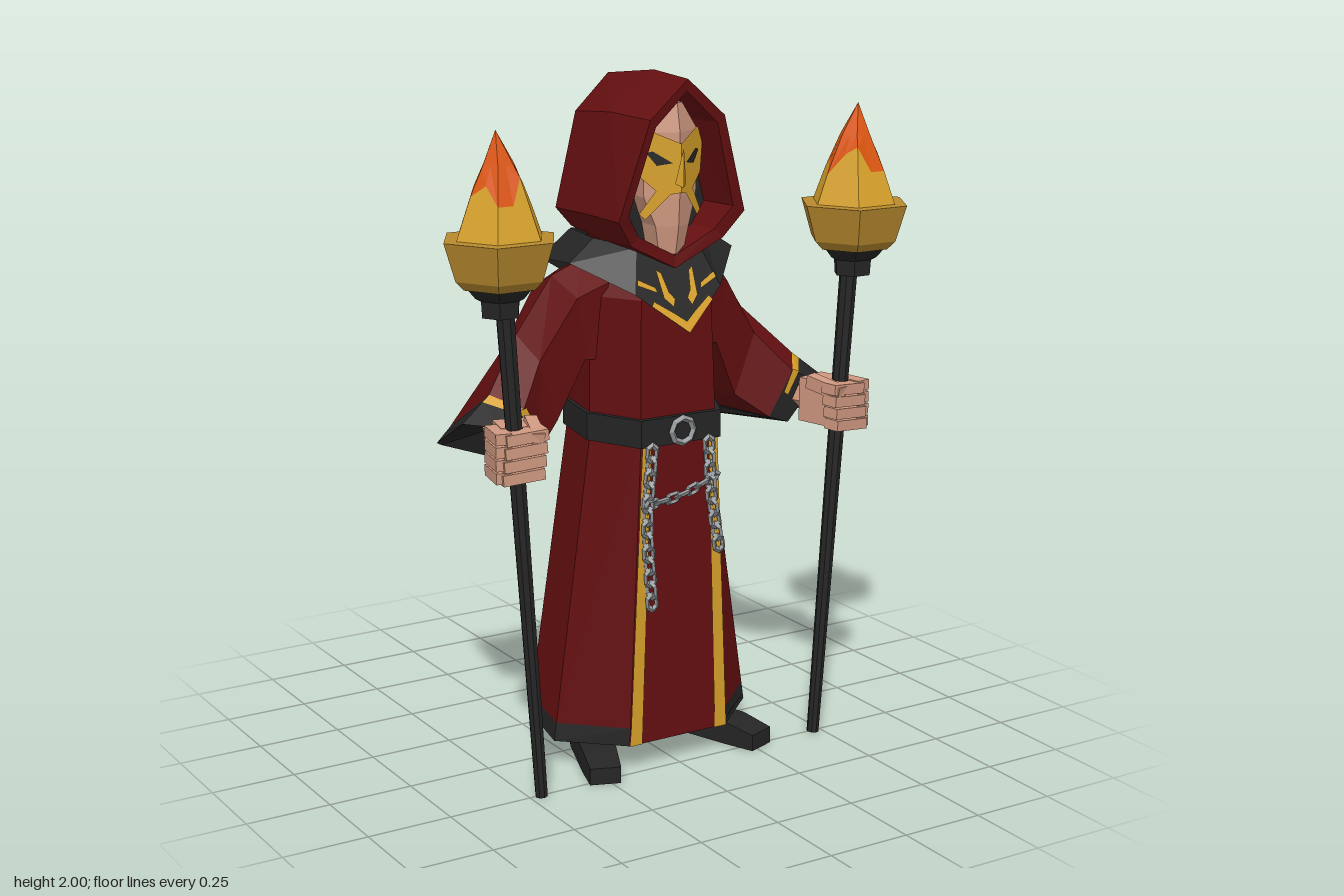
import * as THREE from 'three';

const mat = (name, color, side = THREE.DoubleSide) => {
  const m = new THREE.MeshStandardMaterial({ color, flatShading: true, side });
  m.name = name;
  return m;
};

export function createModel() {
  const red = mat('robe red', 0x640f10);
  const dark = mat('charcoal', 0x252525);
  const gold = mat('gold trim', 0xd6a02a);
  const brass = mat('bowl brass', 0xb88a2e, THREE.FrontSide);
  const orange = mat('flame orange', 0xdb560f, THREE.FrontSide);
  const skin = mat('skin', 0xcf9880, THREE.FrontSide);
  const steel = mat('steel', 0x8f9396, THREE.FrontSide);

  const model = new THREE.Group();
  model.name = 'hoodedTorchbearer';

  // Mirrored copy across x = 0 with the winding put right
  const mirrored = (geo) => {
    const g = geo.index ? geo.toNonIndexed() : geo.clone();
    g.scale(-1, 1, 1);
    for (const a of Object.values(g.attributes)) {
      const n = a.itemSize, arr = a.array;
      for (let t = 0; t < a.count; t += 3)
        for (let k = 0; k < n; k++) {
          const p = (t + 1) * n + k, q = (t + 2) * n + k;
          [arr[p], arr[q]] = [arr[q], arr[p]];
        }
    }
    g.computeVertexNormals();
    return g;
  };
  const add = (name, geo, material, pair = false) => {
    const put = (g, n) => {
      const mesh = new THREE.Mesh(g, material);
      mesh.name = n;
      model.add(mesh);
    };
    put(geo, pair ? name + 'Left' : name);
    if (pair) put(mirrored(geo), name + 'Right');
  };

  // Skin between closed cross-sections; pick(ring, side) chooses the material
  const loft = (name, rings, pick, pair = false) => {
    const bins = new Map();
    for (let j = 0; j < rings.length - 1; j++) {
      const A = rings[j], B = rings[j + 1], n = A.length;
      for (let i = 0; i < n; i++) {
        const k = (i + 1) % n, m = typeof pick === 'function' ? pick(j, i) : pick;
        if (!bins.has(m)) bins.set(m, []);
        const same = (p, q) => p.every((v, c) => v === q[c]);
        if (!same(A[i], A[k])) bins.get(m).push(...A[i], ...A[k], ...B[k]);
        if (!same(B[i], B[k])) bins.get(m).push(...A[i], ...B[k], ...B[i]);
      }
    }
    for (const [m, pos] of bins) {
      const g = new THREE.BufferGeometry();
      g.setAttribute('position', new THREE.Float32BufferAttribute(pos, 3));
      g.computeVertexNormals();
      add(bins.size > 1 ? name + ' ' + m.name : name, g, m, pair);
    }
  };
  const sym = (half) => [...half, ...half.filter((p) => p[0] > 0).reverse().map(([x, y, z]) => [-x, y, z])];
  const point = (ring, x, y, z) => ring.map(() => [x, y, z]);
  const mix = (A, B, t) => A.map((p, i) => p.map((v, k) => v + (B[i][k] - v) * t));

  const box = (size, pos, rot = [0, 0, 0]) => new THREE.BoxGeometry(...size)
    .applyMatrix4(new THREE.Matrix4().makeRotationFromEuler(new THREE.Euler(...rot)).setPosition(...pos));
  const rod = (a, b, ra, rb, seg) => {
    const A = new THREE.Vector3(...a), B = new THREE.Vector3(...b), d = B.clone().sub(A);
    const q = new THREE.Quaternion().setFromUnitVectors(new THREE.Vector3(0, 1, 0), d.clone().normalize());
    return new THREE.CylinderGeometry(rb, ra, d.length(), seg)
      .applyQuaternion(q).translate(...A.add(B).multiplyScalar(0.5).toArray());
  };
  // Thin painted plate laid on a surface z = rule(x, y)
  const plate = (name, pts, rule, material, pair = true) => {
    const g = new THREE.ShapeGeometry(new THREE.Shape(pts.map((p) => new THREE.Vector2(...p))));
    const p = g.attributes.position;
    for (let i = 0; i < p.count; i++) p.setZ(i, rule(p.getX(i), p.getY(i)));
    g.computeVertexNormals();
    add(name, g, material, pair);
  };

  // Robe, hem band and dark underside
  const robe = (y, f, s, bs, b) => sym([[f[0], y, f[1]], [s[0], y, s[1]], [bs[0], y, bs[1]], [0, y, b]]);
  const hem = robe(0.08, [0.165, 0.24], [0.33, 0.09], [0.28, -0.15], -0.29);
  const waist = robe(0.98, [0.125, 0.235], [0.2, 0.08], [0.165, -0.11], -0.165);
  const chest = robe(1.38, [0.115, 0.22], [0.2, 0.08], [0.17, -0.12], -0.16);
  const neck = robe(1.52, [0.07, 0.16], [0.13, 0.06], [0.11, -0.09], -0.12);
  loft('robe', [hem, mix(hem, waist, 0.06), waist, chest, neck], (j, i) => (j === 0 && i !== 6 ? dark : red));
  loft('robeUnderside', [point(hem, 0, 0.11, 0), mix(hem, waist, 0.02)], dark);
  plate('robeStripe', [[0.095, 0.97], [0.125, 0.97], [0.165, 0.08], [0.125, 0.08]], () => 0.244, gold);

  // Belt and buckle
  const beltRing = (y, k) => waist.map(([x, , z]) => [x * k, y, z * k]);
  loft('belt', [beltRing(0.965, 1), beltRing(0.965, 1.06), beltRing(1.045, 1.06), beltRing(1.045, 0.98)], dark);
  add('buckle', new THREE.TorusGeometry(0.036, 0.01, 4, 8).translate(0, 1.003, 0.257), steel);

  // Hanging belt chain
  const chain = (path) => {
    const curve = new THREE.CatmullRomCurve3(path.map((p) => new THREE.Vector3(...p, 0.255)));
    const n = Math.round(curve.getLength() / 0.036);
    for (let i = 0; i <= n; i++) {
      const t = curve.getTangentAt(i / n);
      add('chainLink', new THREE.TorusGeometry(0.015, 0.007, 4, 6).scale(1.5, 1, 1)
        .rotateX(i % 2 ? 1.1 : 0.2).rotateZ(Math.atan2(t.y, t.x))
        .translate(...curve.getPointAt(i / n).toArray()), steel);
    }
  };
  chain([[-0.1, 0.95], [-0.115, 0.75], [-0.1, 0.51]]);
  chain([[0.09, 0.95], [0.1, 0.8], [0.125, 0.65]]);
  chain([[-0.1, 0.8], [0, 0.815], [0.1, 0.85]]);

  // Shoes, toes turned out
  const shoe = new THREE.BoxGeometry(0.1, 0.07, 0.4, 1, 1, 4).translate(0, 0.035, 0);
  const sp = shoe.attributes.position;
  for (let i = 0; i < sp.count; i++) {
    if (sp.getZ(i) > 0.15) sp.setXYZ(i, sp.getX(i) * 0.9, sp.getY(i) * 0.7, sp.getZ(i));
    if (sp.getZ(i) < -0.15) sp.setX(i, sp.getX(i) * 0.75);
  }
  add('shoe', shoe.rotateY(0.35).translate(0.2, 0, 0.09), dark, true);

  // Sleeves: rings run top, front, under front, under back, back
  const cuff = [[0.51, 1.13, 0.06], [0.45, 1.1, 0.15], [0.39, 0.96, 0.12], [0.415, 0.92, -0.32], [0.43, 0.94, -0.34]];
  const opening = [[0.6, 1.06, 0.07], [0.53, 1.06, 0.16], [0.45, 0.94, 0.13], [0.43, 0.87, -0.4], [0.44, 0.875, -0.41]];
  loft('sleeve', [
    [[0.18, 1.47, 0], [0.16, 1.42, 0.12], [0.18, 1.2, 0.1], [0.18, 1.2, -0.12], [0.18, 1.42, -0.13]],
    [[0.27, 1.43, -0.01], [0.25, 1.38, 0.1], [0.22, 1.2, 0.09], [0.22, 1.2, -0.12], [0.26, 1.38, -0.13]],
    [[0.38, 1.27, -0.02], [0.36, 1.21, 0.08], [0.3, 1.03, 0.07], [0.31, 1.05, -0.13], [0.37, 1.2, -0.13]],
    cuff, mix(cuff, opening, 0.25), opening, point(cuff, 0.46, 1.01, -0.02),
  ], (j, i) => (j < 3 ? red : j === 3 && i === 0 ? gold : dark), true);
  plate('cuffTrim', [[0.445, 1.105], [0.47, 1.1], [0.43, 1.03], [0.415, 1.04]], () => 0.158, gold);

  // Hands gripping the staffs
  add('wrist', rod([0.47, 1.02, 0.03], [0.52, 1.02, 0.2], 0.045, 0.045, 6), skin, true);
  add('palm', box([0.1, 0.13, 0.1], [0.515, 1.02, 0.215], [0, 0.25, 0]), skin, true);
  add('thumb', box([0.035, 0.04, 0.12], [0.485, 1.07, 0.27], [0.2, 0.3, 0]), skin, true);
  for (let i = 0; i < 4; i++) {
    add('finger', box([0.12, 0.031, 0.055], [0.54 - i * 0.004, 0.96 + i * 0.036, 0.295], [0, 0.15, -0.08]), skin, true);
    add('knuckle', box([0.045, 0.031, 0.11], [0.585, 0.96 + i * 0.036, 0.25], [0, 0.2, 0]), skin, true);
  }

  // Torch staffs with six-sided bowls
  const X = 0.577, Z = 0.26;
  add('staff', rod([0.468, 0.003, Z], [0.565, 1.42, Z], 0.018, 0.026, 8), dark, true);
  const hex = (r, y, n = 6) => Array.from({ length: n }, (_, i) => {
    const a = (i / n) * Math.PI * 2 + Math.PI / 6;
    const k = n === 12 && i % 2 ? r * 0.866 : r;
    return [X + k * Math.sin(a), y, Z + k * Math.cos(a)];
  });
  loft('torchSocket', [hex(0.02, 1.39), hex(0.055, 1.395), hex(0.058, 1.44), hex(0.075, 1.45), hex(0.105, 1.485)], dark, true);
  loft('torchBowl', [hex(0.02, 1.47), hex(0.107, 1.475), hex(0.132, 1.5), hex(0.165, 1.605), hex(0.12, 1.607)], brass, true);

  // Flames with a ragged line between yellow and orange
  const ragged = [1.7, 1.75, 1.72, 1.68, 1.74, 1.76, 1.7, 1.73, 1.69, 1.75, 1.77, 1.7];
  const edge = ragged.map((y, i) => hex(0.13 - (y - 1.6) * 0.38, y, 12)[i]);
  const base = hex(0.13, 1.6, 12);
  loft('flame', [base, edge, hex(0.046, 1.8, 12), point(base, X + 0.008, 1.89, Z)], (j) => (j ? orange : gold), true);

  // Pointed mantle with gold emblem
  const mantleTop = sym([[0, 1.46, 0.2], [0.1, 1.52, 0.17], [0.18, 1.54, 0.07], [0.15, 1.54, -0.11], [0, 1.53, -0.15]]);
  const mantleRim = sym([[0, 1.29, 0.285], [0.14, 1.4, 0.23], [0.27, 1.48, 0.09], [0.24, 1.46, -0.13], [0, 1.32, -0.195]]);
  loft('mantle', [mantleRim, mantleTop], dark);
  const onMantle = (x, y) => 0.206 + (1.46 - y) * 0.5;
  plate('mantleChevron', [[0, 1.29], [0.1, 1.368], [0.09, 1.38], [0.035, 1.345], [0, 1.32]], onMantle, gold);
  plate('mantleBar', [[0.03, 1.36], [0.055, 1.385], [0.06, 1.46], [0.045, 1.45], [0.035, 1.4], [0.02, 1.38]], onMantle, gold);
  plate('mantleDash', [[0.07, 1.4], [0.13, 1.425], [0.125, 1.44], [0.075, 1.415]], onMantle, gold);

  // Hood shell with thick rim and peaked back
  const rim = sym([[0, 1.99, 0.275], [0.12, 1.885, 0.275], [0.205, 1.61, 0.25], [0.15, 1.535, 0.225], [0, 1.46, 0.215]]);
  const mid = sym([[0, 2, 0.1], [0.135, 1.89, 0.09], [0.205, 1.61, 0.08], [0.15, 1.53, 0.07], [0, 1.5, 0.07]]);
  const rear = sym([[0, 1.97, -0.15], [0.12, 1.87, -0.13], [0.19, 1.6, -0.125], [0.13, 1.54, -0.14], [0, 1.555, -0.23]]);
  const lip = rim.map(([x, y, z]) => [x * 0.83, 1.73 + (y - 1.73) * 0.87, z - 0.005]);
  const inner = lip.map(([x, y]) => [x * 0.9, y, 0.12]);
  loft('hood', [inner, lip, rim, mid, rear, point(rear, 0, 1.74, -0.185)], red);
  loft('hoodLining', [point(inner, 0, 1.73, 0.11), inner], dark);

  // Face wedge, eyes and mask
  const face = (y, w, z) => sym([[0, y, z], [w, y, z - 0.6 * w], [w * 0.9, y, 0.09]]);
  const brow = face(1.92, 0.025, 0.22);
  loft('face', [
    point(brow, 0, 1.49, 0.19), face(1.5, 0.04, 0.215), face(1.58, 0.055, 0.23), face(1.66, 0.085, 0.235),
    face(1.84, 0.09, 0.235), brow, point(brow, 0, 1.925, 0.15),
  ], skin);
  const onFace = (d) => (x) => 0.235 + d - 0.6 * x;
  plate('mask', [[0, 1.675], [0.025, 1.67], [0.085, 1.6], [0.1, 1.615], [0.06, 1.68], [0.1, 1.72], [0.11, 1.8],
    [0.085, 1.85], [0, 1.81]], onFace(0.008), gold);
  plate('eyeSlit', [[0.022, 1.757], [0.06, 1.75], [0.085, 1.785], [0.07, 1.79]], onFace(0.012), dark);
  plate('maskNose', [[0, 1.69], [0.018, 1.7], [0, 1.8]], (x) => 0.255 - 0.9 * x, gold);

  return model;
}
